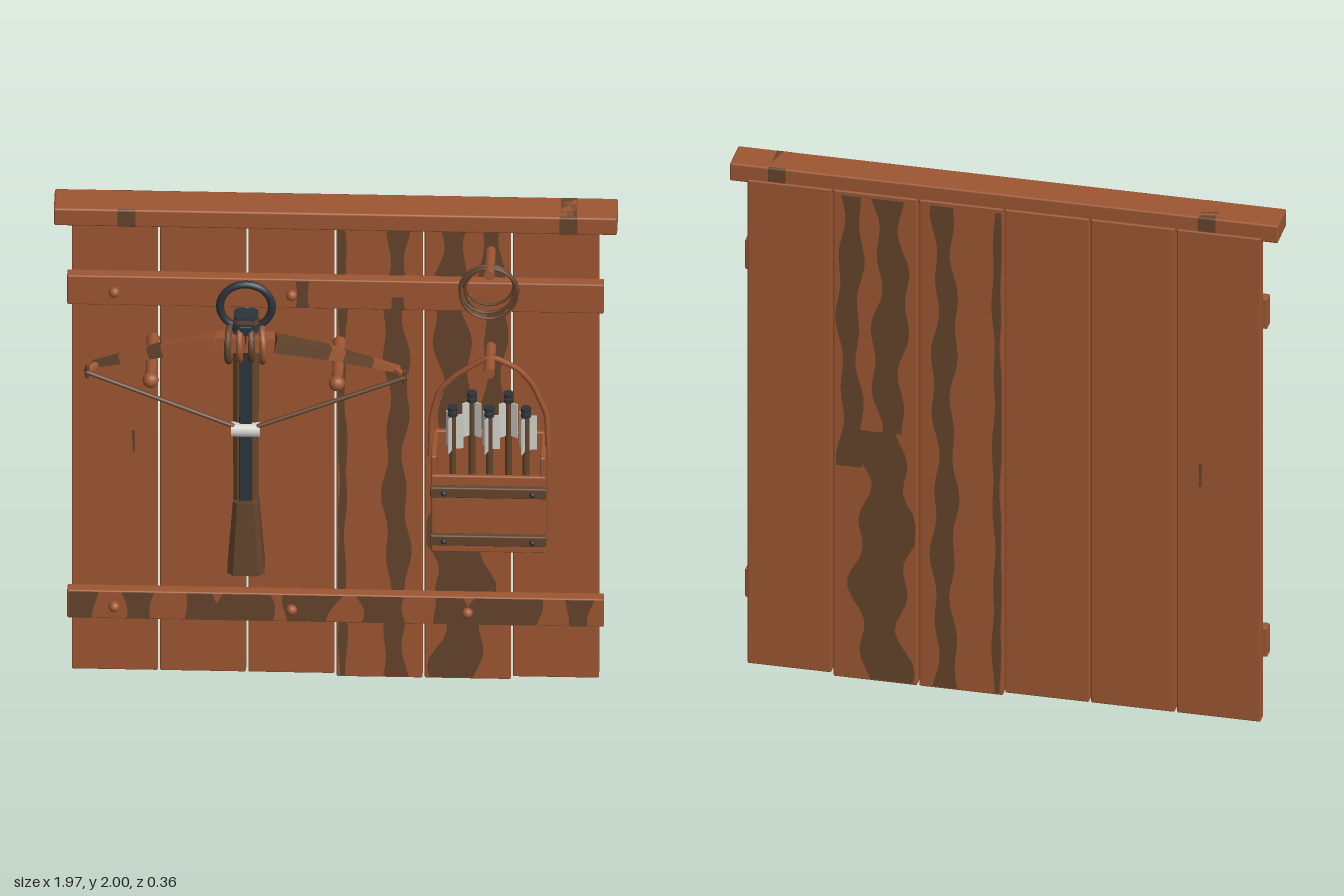
import * as THREE from 'three';
import { RoundedBoxGeometry } from 'three/addons/geometries/RoundedBoxGeometry.js';

const V = (x, y, z) => new THREE.Vector3(x, y, z);

export function createModel() {
  const root = new THREE.Group();
  const mat = (name, color, side = THREE.FrontSide) => {
    const m = new THREE.MeshStandardMaterial({ color, side });
    m.name = name;
    return m;
  };
  const wood = mat('warm wood', 0x9e5733);
  const dark = mat('dark wood', 0x65452c, THREE.DoubleSide);
  const iron = mat('dark iron', 0x2c343c);
  const white = mat('pale feather', 0xcfcec8, THREE.DoubleSide);

  const group = (name, parent = root) => {
    const g = new THREE.Group();
    g.name = name;
    parent.add(g);
    return g;
  };
  const add = (parent, name, geo, material, x = 0, y = 0, z = 0) => {
    const m = new THREE.Mesh(geo, material);
    m.name = name;
    m.position.set(x, y, z);
    parent.add(m);
    return m;
  };
  // Box given by its limits, with slightly worn edges
  const box = (parent, name, material, x0, x1, y0, y1, z0, z1, r = 0.005) =>
    add(parent, name, new RoundedBoxGeometry(x1 - x0, y1 - y0, z1 - z0, 1, r), material,
      (x0 + x1) / 2, (y0 + y1) / 2, (z0 + z1) / 2);
  // Straight rod between two points, may taper
  const rod = (parent, name, material, a, b, ra, rb = ra, sides = 8) => {
    let geo = new THREE.CylinderGeometry(rb, ra, a.distanceTo(b), sides);
    if (sides < 8) {
      geo.rotateY(Math.PI / sides);
      geo = geo.toNonIndexed();
      geo.computeVertexNormals();
    }
    const m = add(parent, name, geo, material);
    m.position.copy(a).add(b).multiplyScalar(0.5);
    m.quaternion.setFromUnitVectors(V(0, 1, 0), b.clone().sub(a).normalize());
    return m;
  };
  // Box tapering from its bottom size to its top size, with chamfered corners
  const taper = (parent, name, material, x, y0, y1, bottom, top, zBottom, zTop) => {
    let geo = new THREE.CylinderGeometry(1, 1, 1, 8).rotateY(Math.PI / 8);
    const p = geo.attributes.position;
    for (let i = 0; i < p.count; i++) {
      const up = p.getY(i) > 0;
      const s = up ? top : bottom;
      const k = 1 / Math.cos(Math.PI / 8);
      const q = (v) => Math.sign(v) * (Math.abs(v) > 0.6 ? 0.5 : Math.abs(v) > 0.2 ? 0.34 : 0) * (k > 1 ? 1 : k);
      p.setXYZ(i, x + q(p.getX(i)) * s[0], up ? y1 : y0, (up ? zTop : zBottom) + q(p.getZ(i)) * s[1]);
    }
    geo = geo.toNonIndexed();
    geo.computeVertexNormals();
    return add(parent, name, geo, material);
  };
  // Flat stain with wavy long edges, kept between lo and hi
  const stain = (parent, x, half, y0, y1, z, seed, lo = -9, hi = 9) => {
    const n = Math.max(6, Math.round((y1 - y0) / 0.04));
    const left = [], right = [];
    for (let i = 0; i <= n; i++) {
      const y = y0 + (y1 - y0) * i / n;
      const w = (s) => half * (1 + 0.3 * Math.sin(y * 9 + s) + 0.25 * Math.sin(y * 23 + s * 2.7));
      left.push(new THREE.Vector2(Math.max(lo, x - w(seed)), y));
      right.push(new THREE.Vector2(Math.min(hi, x + w(seed + 2)), y));
    }
    add(parent, 'woodStain', new THREE.ShapeGeometry(new THREE.Shape([...left, ...right.reverse()])), dark, 0, 0, z);
  };

  // Plank wall
  const board = group('board');
  for (let i = 0; i < 6; i++) {
    const x = -0.925 + i * 0.3085;
    const y0 = i === 3 || i === 4 ? 0.003 : 0.015;
    box(board, 'plank', wood, x, x + 0.301, y0, 1.945, -0.178, -0.135);
  }
  for (const z of [-0.133, -0.18]) {
    stain(board, 0.21, 0.035, 0.01, 1.93, z, 1, 0.01, 0.295);
    stain(board, 0.02, 0.014, 0.01, 1.93, z, 4, 0.006, 0.295);
    stain(board, 0.43, 0.085, 0.01, 1.0, z, 2.3, 0.315, 0.6);
    stain(board, 0.405, 0.05, 1.0, 1.93, z, 0.4, 0.315, 0.6);
    stain(board, 0.55, 0.035, 0.85, 1.93, z, 5, 0.32, 0.603);
    stain(board, -0.71, 0.006, 0.93, 1.02, z, 3);
  }

  // Top beam with dark bands
  box(board, 'topBeam', wood, -0.985, 0.985, 1.93, 2, -0.17, -0.037, 0.007);
  for (const x of [-0.73, 0.815]) {
    box(board, 'beamBand', dark, x - 0.036, x + 0.036, 1.929, 2, -0.171, -0.036, 0.007);
  }

  // Cross battens with round nails
  box(board, 'upperBatten', wood, -0.94, 0.937, 1.565, 1.685, -0.138, -0.094);
  box(board, 'lowerBatten', wood, -0.94, 0.937, 0.255, 0.37, -0.138, -0.094);
  stain(board, -0.12, 0.03, 1.57, 1.68, -0.092, 2);
  stain(board, 0.21, 0.02, 1.57, 1.62, -0.092, 4);
  const lowerStains = [[-0.88, 0.05], [-0.7, 0.06], [-0.48, 0.05], [-0.3, 0.08], [-0.08, 0.1],
    [0.14, 0.09], [0.4, 0.05], [0.62, 0.11], [0.85, 0.05]];
  lowerStains.forEach(([x, w], i) => stain(board, x, w, 0.258, 0.367, -0.092, i * 1.7, -0.935, 0.93));
  for (const y of [0.31, 1.625]) {
    for (const x of [-0.775, -0.155, 0.46]) {
      add(board, 'battenNail', new THREE.SphereGeometry(0.02, 12, 8), wood, x, y, -0.086);
    }
  }

  // Hanging pegs
  const pegs = group('pegs');
  for (const x of [-0.64, 0.012]) {
    rod(pegs, 'bowPeg', wood, V(x, 1.403, -0.135), V(x, 1.41, 0.15), 0.024, 0.019, 10);
    add(pegs, 'pegBall', new THREE.SphereGeometry(0.029, 12, 8), wood, x, 1.418, 0.153);
  }
  rod(pegs, 'ringPeg', wood, V(0.54, 1.795, -0.135), V(0.54, 1.8, 0.035), 0.019, 0.019, 10);
  rod(pegs, 'quiverPeg', wood, V(0.54, 1.395, -0.135), V(0.54, 1.4, 0.05), 0.02, 0.02, 10);

  // Coil of thin cord
  const coil = group('cordCoil');
  [[0, 0, 0.012, 0.1], [-0.006, 0.004, -0.008, 0.096], [0.008, -0.008, -0.02, 0.093], [0, 0.006, -0.034, 0.087]]
    .forEach(([dx, dy, z, r], i) => {
      const loop = add(coil, 'cordLoop', new THREE.TorusGeometry(r, 0.0055, 6, 32), dark, 0.538 + dx, 1.712 + dy, z);
      loop.rotation.x = 0.05 * (i - 1.5);
    });

  // Crossbow stock
  const bow = group('crossbow');
  const cx = -0.31;
  taper(bow, 'grip', dark, cx, 0.565, 0.865, [0.13, 0.13], [0.088, 0.085], 0.028, 0.045);
  taper(bow, 'gripNeck', dark, cx, 0.86, 0.885, [0.065, 0.06], [0.065, 0.06], 0.05, 0.05);
  taper(bow, 'stock', dark, cx, 0.88, 1.62, [0.086, 0.085], [0.09, 0.075], 0.053, 0.04);
  const rail = box(bow, 'rail', iron, cx - 0.022, cx + 0.022, 0.885, 1.6, 0.084, 0.094, 0.003);
  rail.rotation.x = -0.02;
  taper(bow, 'headCap', iron, cx, 1.575, 1.63, [0.096, 0.083], [0.082, 0.07], 0.04, 0.04);
  add(bow, 'stirrupRing', new THREE.TorusGeometry(0.091, 0.014, 8, 28), iron, cx, 1.66, 0.042);
  rod(bow, 'nutRoller', white, V(cx - 0.05, 1.177, 0.09), V(cx + 0.05, 1.177, 0.09), 0.027, 0.027, 16);

  // Rope lashing round the head
  for (let i = 0; i < 4; i++) {
    const t = i - 1.5;
    const lash = add(bow, 'lashing', new THREE.TorusGeometry(0.068, 0.0125, 8, 24), i % 2 ? wood : dark,
      cx + t * 0.037, 1.52 - Math.abs(t) * 0.006, 0.042);
    lash.rotation.y = Math.PI / 2 + t * 0.07;
    lash.rotation.z = 0.05 * t;
  }

  // Bow limbs in tapering lengths, mirrored, and the string
  const limb = [[0, 1.535, 0.075, 0.042], [0.1, 1.527, 0.068, 0.04], [0.2, 1.498, 0.052, 0.035], [0.29, 1.472, 0.038, 0.031],
    [0.34, 1.452, 0.03, 0.027], [0.44, 1.412, 0.01, 0.022], [0.535, 1.378, -0.004, 0.015]];
  const darkParts = { '-1': [3, 5], 1: [1, 2, 4] };
  for (const s of [-1, 1]) {
    const at = (p) => V(cx + s * p[0], p[1], p[2]);
    for (let i = 0; i < limb.length - 1; i++) {
      rod(bow, 'bowLimb', darkParts[s].includes(i) ? dark : wood, at(limb[i]), at(limb[i + 1]), limb[i][3], limb[i + 1][3], 4);
    }
    const tip = V(cx + s * 0.56, 1.375, 0.042);
    rod(bow, 'limbTip', wood, V(cx + s * 0.515, 1.382, -0.008), tip, 0.014, 0.012, 6);
    rod(bow, 'tipPin', dark, V(cx + s * 0.555, 1.35, 0.04), V(cx + s * 0.555, 1.4, 0.04), 0.008);
    rod(bow, 'bowString', dark, tip, V(cx + s * 0.04, 1.196, 0.1), 0.008);
  }

  // Bolt box: back, sides, floor, front and straps
  const quiver = group('boltBox');
  box(quiver, 'boxBack', wood, 0.345, 0.735, 0.66, 1.05, -0.135, -0.115);
  for (const x of [0.337, 0.718]) box(quiver, 'boxSide', wood, x, x + 0.02, 0.66, 1.047, -0.13, 0.045);
  box(quiver, 'boxFloor', wood, 0.34, 0.735, 0.66, 0.68, -0.13, 0.045);
  box(quiver, 'boxFront', wood, 0.338, 0.738, 0.655, 0.972, 0.035, 0.052);
  for (const y of [0.693, 0.893]) {
    box(quiver, 'boxStrap', dark, 0.334, 0.742, y, y + 0.042, 0.05, 0.073);
    for (const x of [0.382, 0.692]) {
      add(quiver, 'strapNail', new THREE.SphereGeometry(0.011, 10, 6), iron, x, y + 0.02, 0.074);
    }
  }

  // Bolts in two rows with feather vanes
  const bolts = group('bolts', quiver);
  [[0.412, 0.015], [0.54, 0.015], [0.668, 0.015], [0.476, -0.078], [0.604, -0.078]].forEach(([x, z], i) => {
    rod(bolts, 'boltShaft', dark, V(x, 0.69, z), V(x, 1.235, z), 0.012);
    for (const y of [1.21, 1.232]) add(bolts, 'boltNock', new THREE.CylinderGeometry(0.018, 0.018, 0.014, 10), iron, x, y, z);
    for (let k = 0; k < 3; k++) {
      const geo = new THREE.BoxGeometry(0.036, 0.14, 0.004).translate(0.02, 0, 0);
      add(bolts, 'boltVane', geo, white, x, 1.133, z).rotation.y = k * Math.PI * 2 / 3 + (i < 3 ? 0.15 : Math.PI / 2);
    }
  });

  // Carrying cord over its peg
  const cord = [[0.332, 1.0, -0.035], [0.336, 1.15, -0.05], [0.362, 1.255, -0.055], [0.42, 1.325, -0.05], [0.52, 1.405, -0.035],
    [0.56, 1.41, -0.035], [0.64, 1.36, -0.045], [0.69, 1.29, -0.053], [0.738, 1.165, -0.052], [0.745, 1.0, -0.035]];
  const path = new THREE.CatmullRomCurve3(cord.map((p) => V(...p)), false, 'catmullrom', 0.2);
  add(quiver, 'carryCord', new THREE.TubeGeometry(path, 40, 0.0105, 7), wood);

  return root;
}
